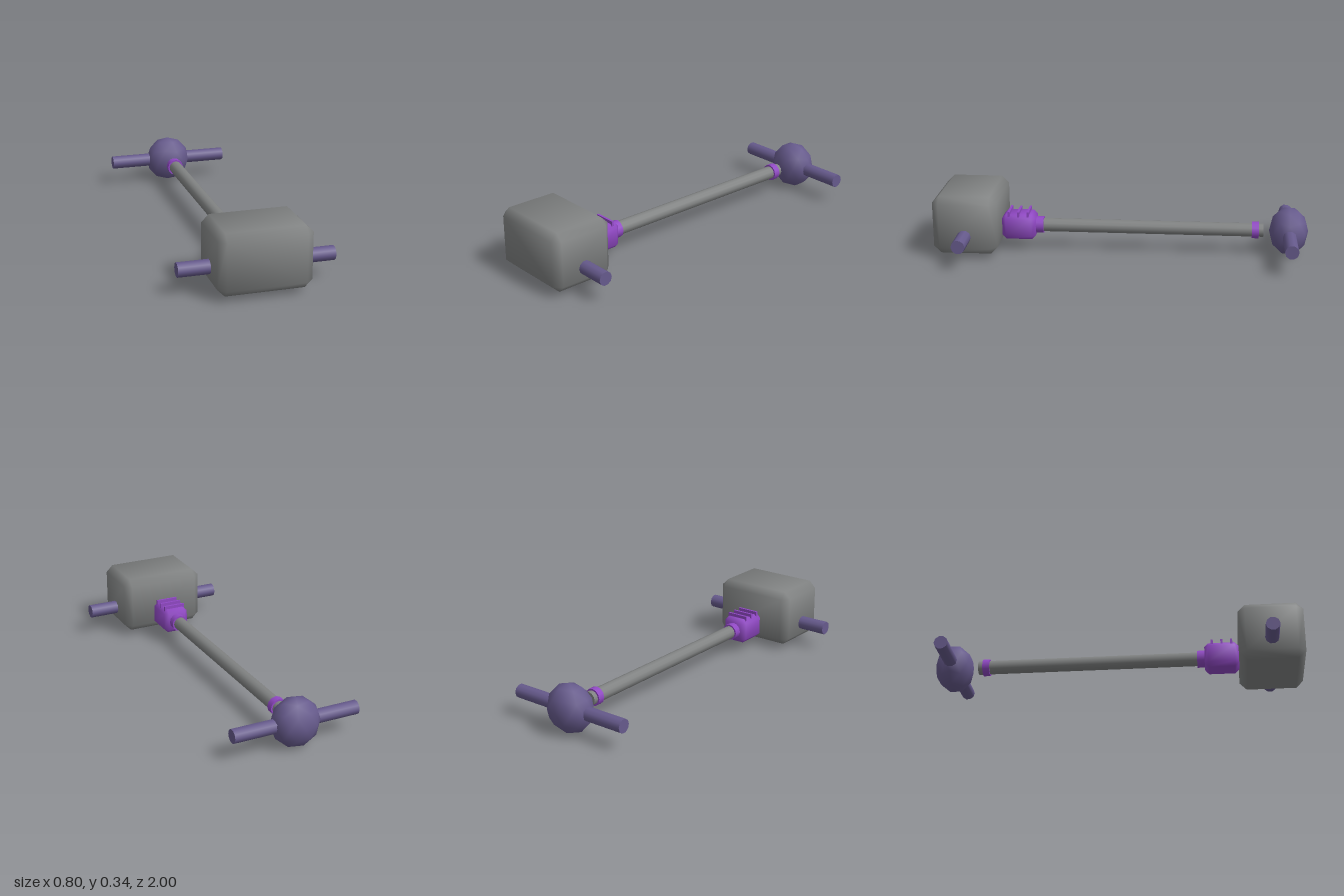
import * as THREE from 'three';
import { ConvexGeometry } from 'three/addons/geometries/ConvexGeometry.js';

const AXIS_Y = 0.131; // height of the drive line

// Box with one flat chamfer on every edge and softly blended normals
function chamferBox(w, h, d, c) {
  const half = [w / 2, h / 2, d / 2];
  const points = [];
  for (const sx of [-1, 1]) for (const sy of [-1, 1]) for (const sz of [-1, 1]) {
    for (let face = 0; face < 3; face++) {
      const [x, y, z] = half.map((v, i) => (i === face ? v : v - c));
      points.push(new THREE.Vector3(sx * x, sy * y, sz * z));
    }
  }
  const geo = new ConvexGeometry(points);
  const pos = geo.attributes.position;
  const n = new THREE.Vector3();
  for (let i = 0; i < pos.count; i++) {
    const p = [pos.getX(i), pos.getY(i), pos.getZ(i)];
    n.fromArray(p.map((v, k) => Math.sign(v) * (Math.abs(v) > half[k] - c / 2 ? 1 : 0.38))).normalize();
    geo.attributes.normal.setXYZ(i, n.x, n.y, n.z);
  }
  return geo;
}

export function createModel() {
  const group = new THREE.Group();
  const mat = (name, color) => new THREE.MeshStandardMaterial({ name, color });
  const grey = mat('grey metal', 0x808282);
  const purple = mat('bright purple', 0x9048c4);
  const indigo = mat('dusty indigo', 0x665a8c);

  const add = (name, geo, material, x, y, z) => {
    const mesh = new THREE.Mesh(geo, material);
    mesh.name = name;
    mesh.position.set(x, y, z);
    group.add(mesh);
    return mesh;
  };
  // Cylinder along z between two depths
  const rodZ = (name, r, z0, z1, sides, material) =>
    add(name, new THREE.CylinderGeometry(r, r, z1 - z0, sides).rotateX(Math.PI / 2),
      material, 0, AXIS_Y, (z0 + z1) / 2);
  // Cylinder across the model
  const rodX = (name, r, length, z) =>
    add(name, new THREE.CylinderGeometry(r, r, length, 10).rotateZ(Math.PI / 2),
      indigo, 0, AXIS_Y, z);

  // Engine block and front axle
  add('engineBlock', chamferBox(0.474, 0.317, 0.345, 0.038), grey, 0, 0.186, 0.8275);
  rodX('frontAxle', 0.037, 0.796, 0.828);

  // Gearbox with cooling ribs
  add('gearbox', chamferBox(0.144, 0.138, 0.183, 0.022), purple, 0, AXIS_Y, 0.5635);
  for (const z of [0.513, 0.565, 0.617]) {
    add('gearboxRib', new THREE.BoxGeometry(0.122, 0.03, 0.012), purple, 0, 0.202, z);
  }

  // Drive shaft with a collar near each end
  rodZ('driveShaft', 0.037, -0.76, 0.45, 12, grey);
  rodZ('frontCollar', 0.046, 0.432, 0.478, 12, purple);
  rodZ('rearCollar', 0.046, -0.735, -0.698, 12, purple);

  // Differential, with one vertex of the faceted ball pointing straight up
  const ball = new THREE.IcosahedronGeometry(1, 1)
    .rotateX(-Math.atan((1 + Math.sqrt(5)) / 2))
    .rotateY(Math.PI / 2)
    .scale(0.129, 0.131, 0.105);
  add('differential', ball, indigo, 0, AXIS_Y, -0.895);
  rodX('rearAxle', 0.037, 0.686, -0.895);

  return group;
}
